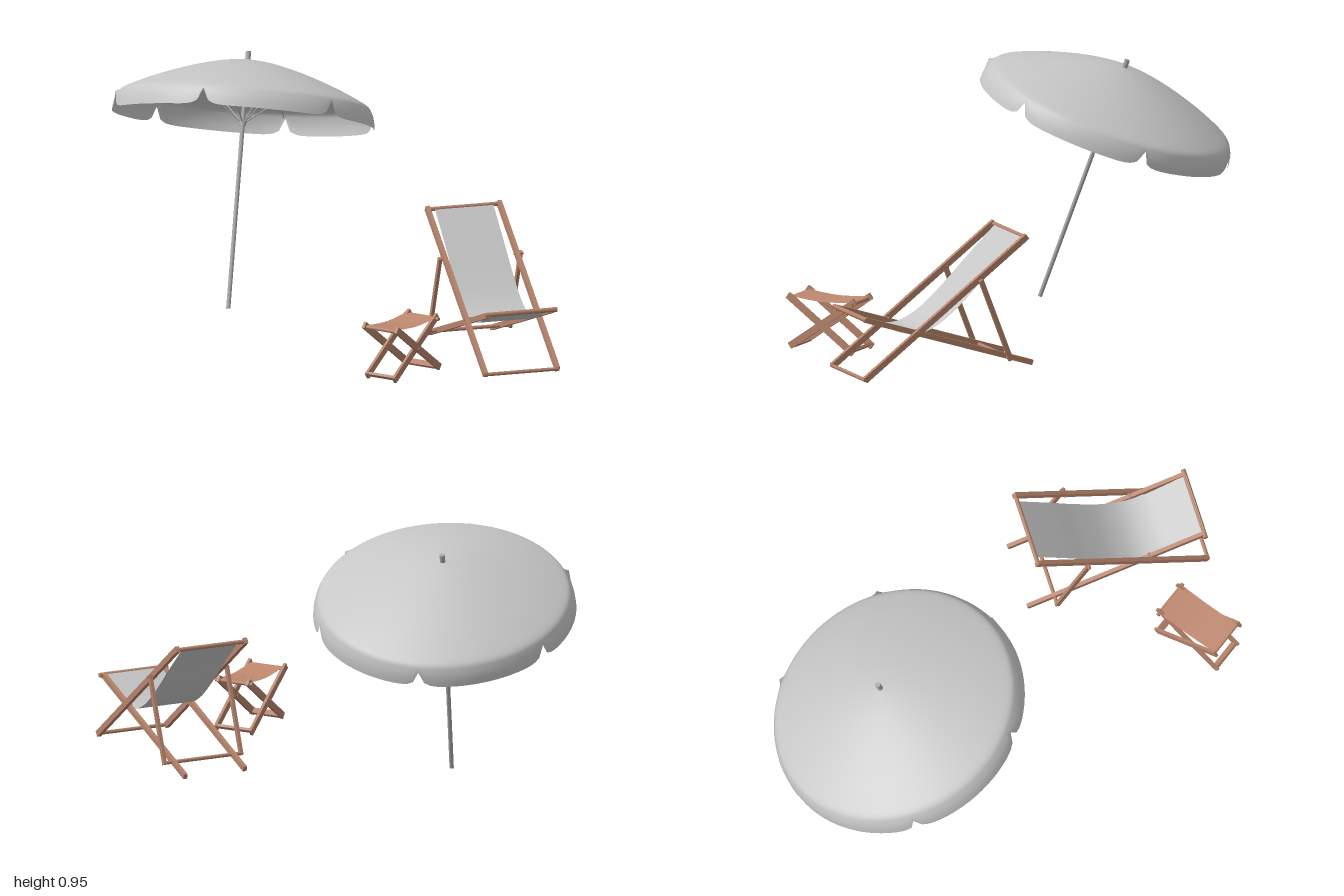
import * as THREE from 'three';

const mat = (name, color, side = THREE.FrontSide) => {
  const m = new THREE.MeshStandardMaterial({ color, side });
  m.name = name;
  return m;
};
const V = (x, y, z) => new THREE.Vector3(x, y, z);
const UP = V(0, 1, 0);

export function createModel() {
  const wood = mat('wood', 0xb5836b);
  const metal = mat('metal', 0xa8a8a8);
  const fabric = mat('fabric', 0xc6c6c6, THREE.DoubleSide);
  const stoolCloth = mat('stoolCloth', 0xc08a70, THREE.DoubleSide);

  const add = (parent, name, geometry, material) => {
    const mesh = new THREE.Mesh(geometry, material);
    mesh.name = name;
    parent.add(mesh);
    return mesh;
  };
  const span = (mesh, a, b) => {
    mesh.position.copy(a).add(b).multiplyScalar(0.5);
    mesh.quaternion.setFromUnitVectors(UP, b.clone().sub(a).normalize());
    return mesh;
  };
  // Round bar and flat-sided beam between two points
  const rod = (parent, name, a, b, r, material, sides = 12) =>
    span(add(parent, name, new THREE.CylinderGeometry(r, r, a.distanceTo(b), sides), material), a, b);
  const beam = (parent, name, a, b, w, d, material) =>
    span(add(parent, name, new THREE.BoxGeometry(w, a.distanceTo(b), d), material), a, b);
  // Cloth strip following a smooth profile of [along, height], extruded across its width
  const cloth = (parent, name, profile, width, alongX, material) => {
    const curve = new THREE.CatmullRomCurve3(profile.map(([s, y]) => V(s, y, 0)));
    const n = 40;
    const g = new THREE.PlaneGeometry(1, width, n, 1);
    const p = g.attributes.position;
    for (let i = 0; i < p.count; i++) {
      const c = curve.getPoint((i % (n + 1)) / n);
      const across = p.getY(i);
      if (alongX) p.setXYZ(i, c.x, c.y, -across);
      else p.setXYZ(i, across, c.y, c.x);
    }
    g.computeVertexNormals();
    return add(parent, name, g, material);
  };

  const model = new THREE.Group();
  model.name = 'beachSet';

  // ---- Tilted parasol: local origin at the rim centre, y along the pole ----
  const parasol = new THREE.Group();
  parasol.name = 'parasol';
  parasol.position.set(-0.042, 0.775, -0.529);
  parasol.quaternion.setFromUnitVectors(UP, V(0.254, 0.941, -0.226).normalize());
  model.add(parasol);

  rod(parasol, 'pole', V(0, -0.768, 0), V(0, 0.17, 0), 0.008, metal, 16);
  rod(parasol, 'poleTip', V(0, 0.15, 0), V(0, 0.187, 0), 0.01, metal, 16);
  rod(parasol, 'runnerHub', V(0, -0.09, 0), V(0, -0.065, 0), 0.013, metal, 16);

  // Dome with a hanging valance cut into six rounded flaps
  const drop = 0.068;
  const dome = [[0.467, 0], [0.455, 0.013], [0.42, 0.032], [0.34, 0.068], [0.22, 0.112], [0.1, 0.144], [0.005, 0.157]];
  const domeCurve = new THREE.SplineCurve(dome.map(([r, y]) => new THREE.Vector2(r, y)));
  const profile = [[0.485, -drop], [0.483, -drop * 0.65], [0.477, -drop * 0.3]]
    .map(([r, y]) => new THREE.Vector2(r, y)).concat(domeCurve.getPoints(24));
  const start = THREE.MathUtils.degToRad(6);
  const canopy = new THREE.LatheGeometry(profile, 144, start);
  const pos = canopy.attributes.position;
  for (let i = 0; i < pos.count; i++) {
    if (pos.getY(i) >= 0) continue;
    const step = Math.floor(i / profile.length) % 24;
    const edge = Math.abs(step / 12 - 1);
    pos.setY(i, pos.getY(i) * Math.max(0.1, Math.sqrt(1 - edge ** 10)));
  }
  add(parasol, 'canopy', canopy, fabric);

  // Ribs under the dome and struts from the runner
  for (let k = 0; k < 6; k++) {
    const a = start + k * Math.PI / 3;
    const at = (r, y) => V(r * Math.sin(a), y, r * Math.cos(a));
    const rib = new THREE.CatmullRomCurve3(dome.map(([r, y]) => at(r, y - 0.006)));
    add(parasol, 'rib', new THREE.TubeGeometry(rib, 16, 0.0025, 6), metal);
    rod(parasol, 'strut', at(0.01, -0.075), at(0.24, 0.098), 0.0025, metal, 6);
  }

  // ---- Deck chair: x across, z towards its front ----
  const chair = new THREE.Group();
  chair.name = 'deckChair';
  chair.position.set(0.2625, 0, 0.626);
  chair.rotation.y = -0.279;
  model.add(chair);

  for (const s of [-1, 1]) {
    const x = s * 0.14;
    beam(chair, 'backRail', V(x, 0.012, 0.33), V(x, 0.495, -0.33), 0.016, 0.022, wood);
    beam(chair, 'seatRail', V(s * 0.122, 0.237, 0.325), V(s * 0.122, 0.014, -0.36), 0.015, 0.02, wood);
    beam(chair, 'propLeg', V(s * 0.157, 0.35, -0.135), V(s * 0.157, 0.038, -0.257), 0.012, 0.018, wood);
    rod(chair, 'propPivot', V(s * 0.13, 0.345, -0.135), V(s * 0.166, 0.345, -0.135), 0.006, wood);
    rod(chair, 'seatPivot', V(s * 0.112, 0.174, 0.11), V(s * 0.15, 0.174, 0.11), 0.006, wood);
  }
  const crossbars = [
    ['topBar', 0.49, -0.325, 0.145, 0.008], ['frontFootBar', 0.014, 0.33, 0.145, 0.007],
    ['seatFrontBar', 0.237, 0.322, 0.14, 0.009], ['propBar', 0.045, -0.257, 0.162, 0.007],
  ];
  for (const [name, y, z, half, r] of crossbars) rod(chair, name, V(-half, y, z), V(half, y, z), r, wood);
  cloth(chair, 'sling', [[-0.325, 0.496], [-0.2, 0.378], [-0.1, 0.281], [0, 0.2], [0.08, 0.165],
    [0.16, 0.169], [0.25, 0.208], [0.325, 0.246]], 0.228, false, fabric);

  // ---- Folding stool: x along the seat, z across ----
  const stool = new THREE.Group();
  stool.name = 'foldingStool';
  stool.position.set(-0.2, 0, 0.705);
  stool.rotation.y = 0.343;
  model.add(stool);

  for (const s of [-1, 1]) {
    // Crossed legs, one just inside the other
    for (const d of [-1, 1]) {
      const z = s * (d > 0 ? 0.073 : 0.061);
      beam(stool, 'crossLeg', V(-d * 0.138, 0.213, z), V(d * 0.136, 0.02, z), 0.025, 0.011, wood);
    }
    rod(stool, 'legPivot', V(0, 0.116, s * 0.053), V(0, 0.116, s * 0.081), 0.005, wood);
    rod(stool, 'seatBar', V(s * 0.127, 0.203, -0.077), V(s * 0.127, 0.203, 0.077), 0.007, wood);
    const foot = beam(stool, 'footSlat', V(s * 0.125, 0.026, -0.067), V(s * 0.125, 0.026, 0.067), 0.024, 0.01, wood);
    foot.rotateY(s * 0.61);
  }
  cloth(stool, 'stoolSeat', [[-0.13, 0.21], [-0.06, 0.203], [0, 0.2], [0.06, 0.203], [0.13, 0.21]],
    0.138, true, stoolCloth);

  return model;
}
